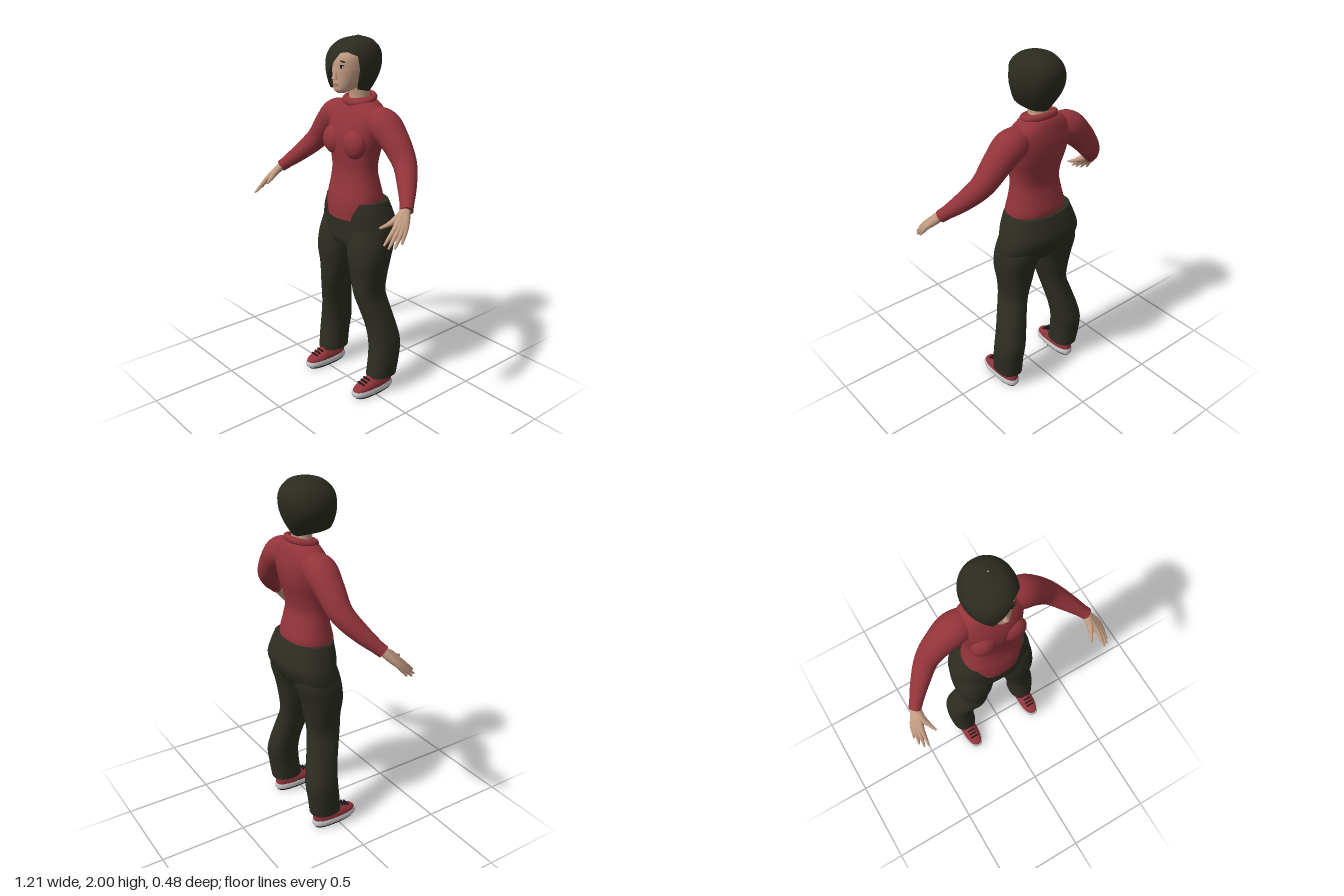
import * as THREE from 'three';

const mat = (name, color) => Object.assign(new THREE.MeshStandardMaterial({ color }), { name });

// Skin of quads over rings of points; optional flat caps on both ends
function skin(rows, caps = true) {
  const n = rows[0].length, pos = [], idx = [];
  rows.forEach(r => r.forEach(p => pos.push(p.x, p.y, p.z)));
  for (let i = 0; i < rows.length - 1; i++) for (let j = 0; j < n; j++) {
    const a = i * n + j, b = i * n + (j + 1) % n;
    idx.push(a, b, a + n, b, b + n, a + n);
  }
  if (caps) [rows[0], rows[rows.length - 1]].forEach((r, end) => {
    const base = pos.length / 3, c = new THREE.Vector3();
    r.forEach(p => { pos.push(p.x, p.y, p.z); c.addScaledVector(p, 1 / n); });
    pos.push(c.x, c.y, c.z);
    for (let j = 0; j < n; j++) {
      const a = base + j, b = base + (j + 1) % n;
      if (end) idx.push(a, b, base + n); else idx.push(b, a, base + n);
    }
  });
  const g = new THREE.BufferGeometry();
  g.setAttribute('position', new THREE.Float32BufferAttribute(pos, 3));
  g.setIndex(idx);
  g.computeVertexNormals();
  return g;
}

// Smooth interpolation of keyed rows: [parameter, ...values]
function smooth(keys) {
  const n = keys[0].length - 1;
  const f = new THREE.CubicInterpolant(keys.map(k => k[0]), keys.flatMap(k => k.slice(1)), n, new Float32Array(n));
  return t => Array.from(f.evaluate(t));
}

// Point on a superellipse bounded by x0..x1 and z0..z1, angle 0 facing +z
function ringPoint(y, [x0, x1, z0, z1], a, p = 2) {
  const w = v => Math.sign(v) * Math.abs(v) ** (2 / p);
  return new THREE.Vector3((x0 + x1) / 2 + w(Math.sin(a)) * (x1 - x0) / 2, y,
    (z0 + z1) / 2 + w(Math.cos(a)) * (z1 - z0) / 2);
}

// Upright loft through keys [y, x0, x1, z0, z1], from the bottom up
function loft(keys, p = 2, steps = 36, seg = 40) {
  const f = smooth(keys), y0 = keys[0][0], y1 = keys[keys.length - 1][0], rows = [];
  for (let i = 0; i <= steps; i++) {
    const y = y0 + (y1 - y0) * i / steps, e = f(y);
    rows.push(Array.from({ length: seg }, (_, j) => ringPoint(y, e, j / seg * Math.PI * 2, p)));
  }
  return skin(rows);
}

// Round limb through keys [x, y, z, radius]
function limb(keys, s = 1, steps = 24, seg = 20) {
  const curve = new THREE.CatmullRomCurve3(keys.map(k => new THREE.Vector3(k[0] * s, k[1], k[2])));
  const radius = smooth(keys.map((k, i) => [i, k[3]]));
  const rows = [];
  let N = new THREE.Vector3(0, 0, 1);
  for (let i = 0; i <= steps; i++) {
    const t = i / steps, c = curve.getPoint(t), T = curve.getTangent(t), r = radius(t * (keys.length - 1))[0];
    N = N.clone().addScaledVector(T, -N.dot(T)).normalize();
    const B = T.clone().cross(N);
    rows.push(Array.from({ length: seg }, (_, j) => {
      const a = j / seg * Math.PI * 2;
      return c.clone().addScaledVector(N, Math.cos(a) * r).addScaledVector(B, Math.sin(a) * r);
    }));
  }
  return skin(rows);
}

export function createModel() {
  const model = new THREE.Group();
  const red = mat('shirt red', 0x93343a), dark = mat('trouser charcoal', 0x2d2d23);
  const hairMat = mat('hair dark', 0x2b2b20), skinMat = mat('skin', 0xc39c82), lip = mat('lip', 0xa8756a);
  const white = mat('sole white', 0xc8c8cc), black = mat('black', 0x171717);
  hairMat.side = THREE.DoubleSide;
  const add = (name, geo, m, parent = model) => {
    const mesh = new THREE.Mesh(geo, m);
    mesh.name = name;
    parent.add(mesh);
    return mesh;
  };
  const blob = (name, m, pos, size, parent) => {
    const mesh = add(name, new THREE.SphereGeometry(1, 24, 16), m, parent);
    mesh.position.set(...pos);
    mesh.scale.set(...size);
    return mesh;
  };

  // Shirt body, hanging over the front of the waistband
  add('shirt', loft([
    [1.03, -0.15, 0.15, -0.15, 0.074], [1.08, -0.165, 0.165, -0.17, 0.074], [1.14, -0.172, 0.172, -0.185, 0.068],
    [1.22, -0.157, 0.157, -0.168, 0.05], [1.3, -0.145, 0.145, -0.152, 0.042], [1.38, -0.152, 0.152, -0.165, 0.05],
    [1.46, -0.172, 0.172, -0.187, 0.055], [1.54, -0.185, 0.185, -0.195, 0.04], [1.6, -0.182, 0.182, -0.187, 0.015],
    [1.64, -0.145, 0.145, -0.177, -0.005], [1.67, -0.095, 0.095, -0.162, -0.02], [1.685, -0.06, 0.06, -0.14, -0.04],
  ], 2.25, 48), red);
  const collar = add('collar', new THREE.TorusGeometry(0.082, 0.015, 12, 40), red);
  collar.rotation.x = Math.PI / 2 + 0.25;
  collar.scale.set(1.08, 0.9, 1.2);
  collar.position.set(0, 1.672, -0.087);

  // Trouser seat
  add('trouserSeat', loft([
    [0.86, -0.2, 0.2, -0.17, 0.04], [0.9, -0.237, 0.237, -0.195, 0.058], [0.95, -0.243, 0.243, -0.225, 0.06],
    [1.0, -0.237, 0.237, -0.241, 0.06], [1.06, -0.22, 0.22, -0.23, 0.063], [1.13, -0.195, 0.195, -0.205, 0.055],
  ], 2.4), dark);

  const legKeys = [
    [0.1, 0.143, 0.291, -0.165, 0.018], [0.2, 0.143, 0.299, -0.178, 0.005], [0.3, 0.135, 0.296, -0.19, -0.003],
    [0.4, 0.118, 0.275, -0.175, 0.005], [0.5, 0.098, 0.245, -0.155, 0.03], [0.6, 0.075, 0.217, -0.14, 0.056],
    [0.7, 0.045, 0.227, -0.148, 0.06], [0.8, 0.022, 0.244, -0.165, 0.07], [0.9, -0.002, 0.245, -0.195, 0.062],
    [0.98, 0.0, 0.225, -0.2, 0.045],
  ];
  const fingers = [
    ['indexFinger', [0.545, 1.14, 0.16], [0.551, 1.075, 0.235]], ['middleFinger', [0.56, 1.135, 0.15], [0.574, 1.063, 0.226]],
    ['ringFinger', [0.572, 1.135, 0.135], [0.591, 1.063, 0.2]], ['littleFinger', [0.578, 1.14, 0.117], [0.599, 1.078, 0.16]],
  ];
  const wrist = [0.518, 1.215, 0.058];

  for (const s of [1, -1]) {
    const side = s > 0 ? 'left' : 'right';
    const mirror = keys => keys.map(([y, x0, x1, z0, z1]) => s > 0 ? [y, x0, x1, z0, z1] : [y, -x1, -x0, z0, z1]);
    blob(side + 'Bust', red, [0.083 * s, 1.45, 0.02], [0.075, 0.08, 0.052]);
    add(side + 'TrouserLeg', loft(mirror(legKeys), 2.3, 48), dark);

    // Sleeve, cuff and hand
    add(side + 'Sleeve', limb([
      [0.1, 1.575, -0.09, 0.07], [0.19, 1.555, -0.092, 0.087], [0.27, 1.49, -0.092, 0.078], [0.36, 1.388, -0.08, 0.063],
      [0.44, 1.3, -0.022, 0.05], [0.525, 1.21, 0.06, 0.031],
    ], s, 36, 28), red);
    add(side + 'Cuff', limb([[0.507, 1.228, 0.043, 0.036], [0.527, 1.208, 0.063, 0.034]], s, 4), red);
    const hand = new THREE.Group();
    hand.name = side + 'Hand';
    model.add(hand);
    for (const [name, k, t] of fingers) {
      const mid = (a, b, f) => a.map((v, i) => v + (b[i] - v) * f);
      add(name, limb([[...wrist, 0.024], [...mid(wrist, k, 0.55), 0.021], [...k, 0.014],
        [...mid(k, t, 0.55), 0.01], [...t, 0.005]], s, 16, 12), skinMat, hand);
    }
    add('thumb', limb([[...wrist, 0.022], [0.518, 1.18, 0.115, 0.02], [0.5, 1.153, 0.16, 0.012], [0.481, 1.137, 0.2, 0.006]],
      s, 14, 12), skinMat, hand);

    // Shoe
    const shoe = new THREE.Group();
    shoe.name = side + 'Shoe';
    model.add(shoe);
    add('tread', loft(mirror([[0, 0.172, 0.258, -0.14, 0.115], [0.016, 0.166, 0.264, -0.147, 0.128]]), 2.6, 2), black, shoe);
    add('sole', loft(mirror([[0.014, 0.163, 0.267, -0.15, 0.13], [0.03, 0.161, 0.269, -0.151, 0.136],
      [0.046, 0.165, 0.265, -0.147, 0.132]]), 2.6, 6), white, shoe);
    add('upper', loft(mirror([[0.044, 0.166, 0.264, -0.146, 0.129], [0.06, 0.166, 0.264, -0.147, 0.12],
      [0.076, 0.17, 0.26, -0.145, 0.085], [0.09, 0.175, 0.255, -0.142, 0.045], [0.108, 0.18, 0.25, -0.135, 0.015]]), 2.5, 16), red, shoe);
    add('sock', loft(mirror([[0.09, 0.18, 0.25, -0.12, 0.02], [0.14, 0.18, 0.25, -0.12, 0]]), 2, 4), dark, shoe);
    for (let i = 0; i < 3; i++) {
      const lace = add('lace', new THREE.BoxGeometry(0.05, 0.008, 0.009), black, shoe);
      lace.position.set(0.215 * s, 0.097 - i * 0.008, 0.035 + i * 0.021);
      lace.rotation.x = 0.4;
    }

    // Ear, eye and brow
    blob(side + 'Ear', skinMat, [0.087 * s, 1.83, -0.05], [0.012, 0.03, 0.018]);
    blob(side + 'Eye', white, [0.038 * s, 1.853, 0.068], [0.016, 0.008, 0.006]);
    blob(side + 'Iris', black, [0.038 * s, 1.853, 0.072], [0.008, 0.008, 0.004]);
    const lid = blob(side + 'Lashes', black, [0.039 * s, 1.861, 0.069], [0.019, 0.003, 0.006]);
    const brow = blob(side + 'Brow', hairMat, [0.042 * s, 1.881, 0.066], [0.022, 0.004, 0.006]);
    lid.rotation.z = brow.rotation.z = -0.08 * s;
  }

  // Neck and head
  add('neck', loft([[1.6, -0.07, 0.07, -0.15, -0.02], [1.68, -0.056, 0.056, -0.138, -0.03], [1.8, -0.055, 0.055, -0.13, -0.01]]), skinMat);
  add('head', loft([
    [1.715, -0.018, 0.018, 0.015, 0.06], [1.728, -0.04, 0.04, -0.025, 0.076], [1.75, -0.058, 0.058, -0.08, 0.079],
    [1.79, -0.075, 0.075, -0.13, 0.078], [1.85, -0.088, 0.088, -0.165, 0.077], [1.91, -0.085, 0.085, -0.165, 0.065],
    [1.95, -0.06, 0.06, -0.14, 0.03],
  ], 2.2), skinMat);
  const nose = add('nose', new THREE.ConeGeometry(0.016, 0.055, 12), skinMat);
  nose.position.set(0, 1.817, 0.08);
  nose.rotation.x = -0.2;
  blob('noseTip', skinMat, [0, 1.797, 0.083], [0.015, 0.01, 0.013]);
  blob('upperLip', lip, [0, 1.764, 0.078], [0.024, 0.004, 0.007]);
  blob('lowerLip', lip, [0, 1.756, 0.077], [0.02, 0.005, 0.008]);

  // Bobbed hair: its lower edge varies around the head, with a fringe swept to the right
  const hairShape = smooth([
    [1.69, -0.06, 0.055, -0.125, 0.06], [1.74, -0.1, 0.088, -0.158, 0.084], [1.8, -0.138, 0.115, -0.19, 0.093],
    [1.86, -0.15, 0.127, -0.205, 0.096], [1.92, -0.135, 0.12, -0.2, 0.085], [1.96, -0.105, 0.097, -0.172, 0.052],
    [1.985, -0.065, 0.062, -0.135, 0.005], [2.0, -0.004, 0.004, -0.079, -0.071],
  ]);
  const edge = [[-180, 1.695], [-110, 1.72], [-50, 1.73], [-34, 1.74], [-12, 1.82], [8, 1.885], [20, 1.925],
    [36, 1.93], [60, 1.91], [66, 1.84], [70, 1.74], [110, 1.72], [180, 1.695]];
  const edgeAt = d => {
    const i = Math.max(1, edge.findIndex(e => e[0] >= d)), [a, ya] = edge[i - 1], [b, yb] = edge[i];
    return ya + (yb - ya) * (d - a) / (b - a);
  };
  const rows = [];
  for (let i = 0; i <= 28; i++) rows.push(Array.from({ length: 120 }, (_, j) => {
    const d = -180 + j * 3, yb = edgeAt(d), y = yb + (2 - yb) * Math.sin(i / 28 * Math.PI / 2);
    return ringPoint(y, hairShape(y), d * Math.PI / 180, 2.1);
  }));
  add('hair', skin(rows, false), hairMat);

  return model;
}
